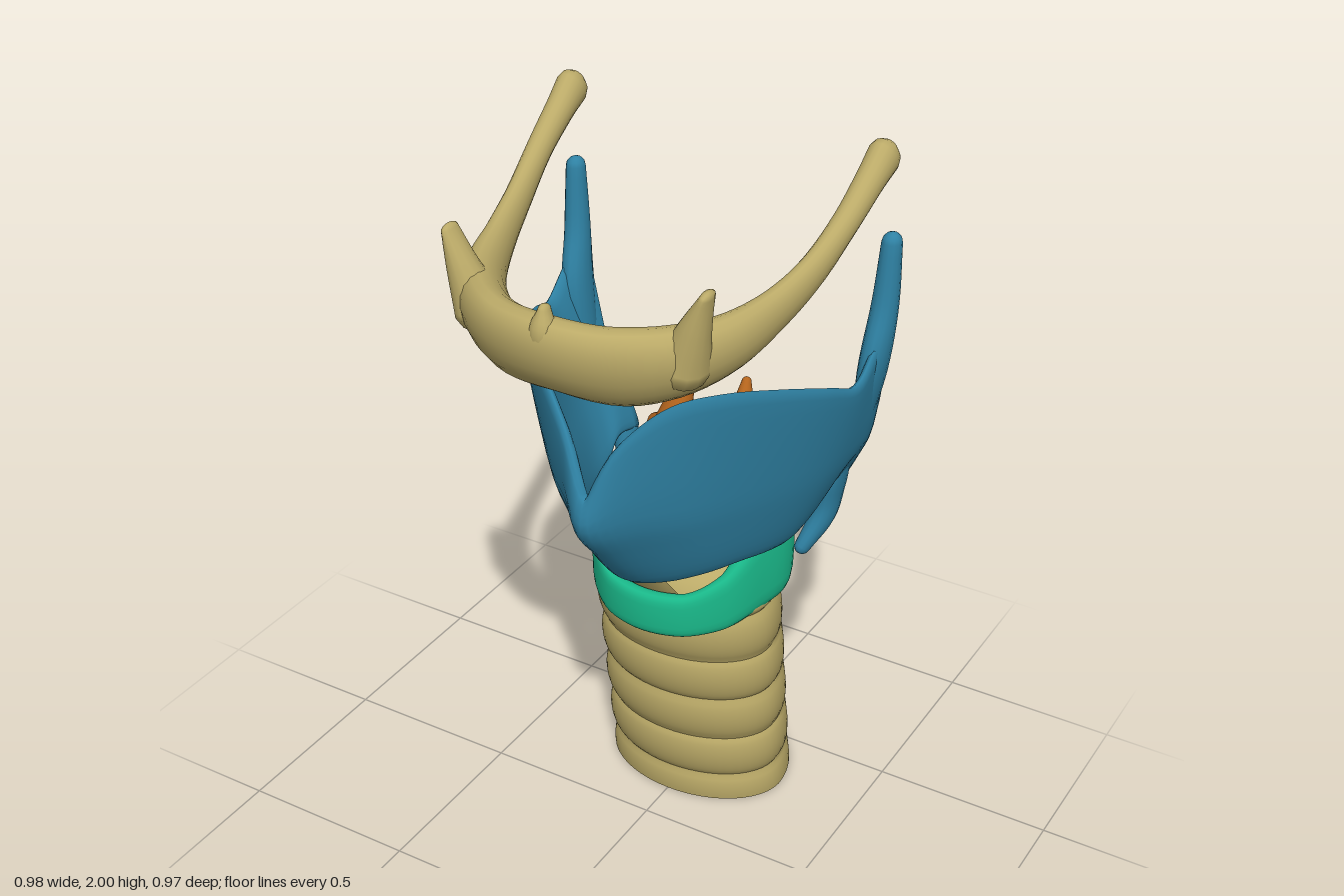
import * as THREE from 'three';
import { toCreasedNormals } from 'three/addons/utils/BufferGeometryUtils.js';

const V = (x, y, z) => new THREE.Vector3(x, y, z);
const curve = (pts, closed = false) => new THREE.CatmullRomCurve3(pts.map(p => V(p[0], p[1], p[2] || 0)), closed);
const material = color => new THREE.MeshStandardMaterial({ color, side: THREE.DoubleSide });
const bone = material(0xbbaa68), blue = material(0x2f82a4), green = material(0x1ab98a), orange = material(0xb5651d);

// Half a list of points, starting on the midline, extended to the other side
const mirrorOpen = (pts, s = -1) => [...pts.slice(1).reverse().map(p => [s * p[0], ...p.slice(1)]), ...pts];
const mirrorClosed = (pts, s = -1) => [...pts, ...pts.slice(1, -1).reverse().map(p => [s * p[0], ...p.slice(1)])];

// Skin closed cross-sections; ends are joined to each other, capped or left open
function loft(loops, { ring = false, capStart = !ring, capEnd = !ring } = {}) {
  const n = loops[0].length, m = loops.length, verts = loops.flat(), index = [];
  for (let i = 0; i < (ring ? m : m - 1); i++) {
    for (let j = 0; j < n; j++) {
      const a = i * n + j, b = i * n + (j + 1) % n, k = ((i + 1) % m) * n;
      index.push(a, b, k + j, b, k + (j + 1) % n, k + j);
    }
  }
  const cap = (start, flip) => {
    const c = V(0, 0, 0);
    for (let j = 0; j < n; j++) c.addScaledVector(verts[start + j], 1 / n);
    const id = verts.push(c) - 1;
    for (let j = 0; j < n; j++) {
      const a = start + j, b = start + (j + 1) % n;
      index.push(id, flip ? b : a, flip ? a : b);
    }
  };
  if (capStart) cap(0, true);
  if (capEnd) cap((m - 1) * n, false);
  // Turn the faces outward
  let volume = 0;
  for (let i = 0; i < index.length; i += 3) {
    volume += verts[index[i]].dot(V(0, 0, 0).crossVectors(verts[index[i + 1]], verts[index[i + 2]]));
  }
  if (volume < 0) index.reverse();
  const g = new THREE.BufferGeometry().setFromPoints(verts);
  g.setIndex(index);
  g.computeVertexNormals();
  return g;
}

// Elliptical tube with changing radii [across, along ref] and rounded ends
function tube(pts, radii, ref = V(0, 1, 0), steps = 20, sides = 14) {
  const path = curve(pts), size = curve(radii), loops = [];
  const section = (t, shrink, push) => {
    const tan = path.getTangent(t), r = size.getPoint(t);
    const across = V(0, 0, 0).crossVectors(tan, ref).normalize();
    const up = V(0, 0, 0).crossVectors(across, tan);
    const c = path.getPoint(t).addScaledVector(tan, push * Math.min(r.x, r.y));
    loops.push(Array.from({ length: sides }, (_, j) => {
      const a = j / sides * Math.PI * 2;
      return c.clone().addScaledVector(across, r.x * shrink * Math.cos(a)).addScaledVector(up, r.y * shrink * Math.sin(a));
    }));
  };
  for (const a of [1.4, 1, 0.5]) section(0, Math.cos(a), -Math.sin(a));
  for (let i = 0; i <= steps; i++) section(i / steps, 1, 0);
  for (const a of [0.5, 1, 1.4]) section(1, Math.cos(a), Math.sin(a));
  return loft(loops);
}

// Windpipe: ringed front and sides, flat hollow back, open below, domed membrane on top
function trachea() {
  const loops = [], rows = 64, height = 0.695;
  for (let i = 0; i <= rows; i++) {
    const y = height * i / rows, cz = -0.305 + 0.148 * y, loop = [];
    const wave = 0.022 * Math.sqrt(Math.abs(Math.cos((y - 0.01) / 0.147 * Math.PI))) - 0.012;
    for (let j = 0; j <= 36; j++) {
      const a = (-42 + 264 * j / 36) * Math.PI / 180, s = Math.sin(a);
      const w = s > 0 ? wave : wave * (1 + s);
      loop.push(V((0.257 + w) * Math.cos(a), y, cz + (s > 0 ? 0.177 + w : 0.265) * s));
    }
    const corner = loop[36];
    for (let j = 1; j < 10; j++) {
      const k = j / 10;
      loop.push(V(corner.x * (1 - 2 * k), y, corner.z + 0.03 * Math.sin(k * Math.PI)));
    }
    loops.push(loop);
  }
  const rim = loops[rows];
  for (let i = 1; i < 8; i++) {
    const a = i * 0.2, k = Math.cos(a);
    loops.push(rim.map(p => V(p.x * k, height + 0.145 * Math.sin(a), -0.19 + (p.z + 0.19) * k)));
  }
  return toCreasedNormals(loft(loops, { capStart: false }), 0.7);
}

// Signet-shaped ring: low in front, tall at the back
function cricoid() {
  const outer = curve(mirrorClosed([[0, 0.038], [0.115, 0.012], [0.208, -0.065], [0.26, -0.16], [0.287, -0.28], [0.22, -0.38], [0.12, -0.43], [0, -0.44]]), true);
  const inner = curve(mirrorClosed([[0, -0.01], [0.1, -0.03], [0.17, -0.09], [0.19, -0.17], [0.18, -0.25], [0.14, -0.31], [0.07, -0.335], [0, -0.34]]), true);
  const level = curve(mirrorClosed([[0.645, 0.77], [0.648, 0.775], [0.66, 0.825], [0.68, 0.925], [0.69, 0.98], [0.685, 1.04], [0.715, 1.06], [0.7, 0.99]], 1), true);
  const soft = c => Math.sign(c) * Math.abs(c) ** 0.6;
  const loops = [];
  for (let i = 0; i < 70; i++) {
    const t = i / 70, o = outer.getPoint(t), n = inner.getPoint(t), h = level.getPoint(t);
    loops.push(Array.from({ length: 20 }, (_, j) => {
      const a = j / 20 * Math.PI * 2, k = 0.5 + 0.5 * soft(Math.cos(a)), v = 0.5 + 0.5 * soft(Math.sin(a));
      const lean = o.y < -0.3 ? 0.35 * (-0.3 - o.y) * v * k : 0;
      return V(n.x + (o.x - n.x) * k, h.x + (h.y - h.x) * v, n.y + (o.y - n.y) * k + lean);
    }));
  }
  return loft(loops, { ring: true });
}

// Shield plates: columns through top, middle, waist and lower edge, thicker below
function shield() {
  const top = curve(mirrorOpen([[0, 1.2, 0.315], [0.1, 1.37, 0.272], [0.2, 1.465, 0.212], [0.3, 1.49, 0.13], [0.395, 1.46, -0.02], [0.455, 1.42, -0.15], [0.48, 1.39, -0.25], [0.485, 1.45, -0.335], [0.483, 1.52, -0.42]]));
  const mid = curve(mirrorOpen([[0, 1.11, 0.316], [0.1, 1.13, 0.23], [0.2, 1.14, 0.14], [0.295, 1.16, 0.03], [0.365, 1.16, -0.1], [0.407, 1.16, -0.21], [0.425, 1.16, -0.3], [0.43, 1.16, -0.38], [0.425, 1.16, -0.435]]));
  const low = curve(mirrorOpen([[0, 0.84, 0.11], [0.1, 0.855, 0.09], [0.195, 0.88, 0.03], [0.265, 0.9, -0.05], [0.305, 0.9, -0.13], [0.325, 0.9, -0.2], [0.335, 0.92, -0.27], [0.34, 0.97, -0.34], [0.34, 0.95, -0.45]]));
  const loops = [];
  for (let i = 0; i <= 80; i++) {
    const t = i / 80, tan = mid.getTangent(t), inward = V(tan.z, 0, -tan.x).normalize();
    const m = mid.getPoint(t), l = low.getPoint(t);
    const column = new THREE.CatmullRomCurve3([top.getPoint(t), m, m.clone().lerp(l, 0.45), l]);
    loops.push(Array.from({ length: 32 }, (_, j) => {
      const a = j / 32 * Math.PI * 2, s = Math.sin(a), v = (1 - Math.cos(a)) / 2;
      const depth = (0.05 + 0.02 * v) * (0.5 - 0.5 * Math.sign(s) * Math.abs(s) ** 0.6);
      return column.getPoint(v).addScaledVector(inward, depth);
    }));
  }
  return loft(loops);
}

export function createModel() {
  const model = new THREE.Group();
  const add = (name, geometry, mat) => {
    const mesh = new THREE.Mesh(geometry, mat);
    mesh.name = name;
    model.add(mesh);
  };

  add('trachea', trachea(), bone);
  add('cricoidCartilage', cricoid(), green);
  add('thyroidCartilage', shield(), blue);

  // Horseshoe bone with its midline bump
  const hyoidPath = [[0, 1.66, 0.415], [0.15, 1.65, 0.38], [0.26, 1.66, 0.305], [0.335, 1.68, 0.2], [0.38, 1.715, 0.07], [0.41, 1.768, -0.06], [0.43, 1.848, -0.19], [0.437, 1.917, -0.3], [0.44, 1.953, -0.36]];
  const hyoidSize = [[0.062, 0.112], [0.062, 0.115], [0.062, 0.1], [0.05, 0.08], [0.036, 0.06], [0.031, 0.047], [0.032, 0.038], [0.036, 0.042], [0.04, 0.052]];
  add('hyoidBone', tube(mirrorOpen(hyoidPath), mirrorOpen(hyoidSize, 1), V(0, 1, 0.4), 72, 18), bone);
  add('hyoidRidge', tube([[0, 1.66, 0.45], [0, 1.73, 0.453], [0, 1.785, 0.445]], [[0.02, 0.02], [0.035, 0.032], [0.014, 0.02]], V(0, 0, 1), 8), bone);

  for (const s of [1, -1]) {
    const side = s > 0 ? 'left' : 'right';
    const back = V(0, 0, 1);
    const pair = (name, pts, radii, mat, ref = back, steps = 16) =>
      add(side + name, tube(pts.map(p => [s * p[0], p[1], p[2]]), radii, ref, steps), mat);

    // Small horns of the horseshoe bone
    pair('LesserHorn', [[0.28, 1.66, 0.3], [0.31, 1.75, 0.315], [0.345, 1.85, 0.318]],
      [[0.065, 0.07], [0.042, 0.045], [0.014, 0.03]], bone);

    // Horns of the shield plates
    pair('UpperHorn', [[0.4, 1.12, -0.395], [0.441, 1.38, -0.377], [0.454, 1.55, -0.397], [0.459, 1.72, -0.402]],
      [[0.012, 0.02], [0.035, 0.058], [0.034, 0.039], [0.026, 0.028]], blue);
    pair('LowerHorn', [[0.38, 1.13, -0.39], [0.33, 0.98, -0.418], [0.308, 0.88, -0.417], [0.272, 0.785, -0.367]],
      [[0.01, 0.015], [0.032, 0.045], [0.033, 0.044], [0.022, 0.026]], blue);

    // Paired pyramid cartilages and the cords running forward
    pair('ArytenoidBody', [[0.12, 1.02, -0.315], [0.105, 1.11, -0.325], [0.09, 1.19, -0.35], [0.085, 1.24, -0.37]],
      [[0.065, 0.05], [0.046, 0.04], [0.027, 0.027], [0.013, 0.014]], orange);
    pair('ArytenoidBase', [[0.165, 1.055, -0.33], [0.11, 1.07, -0.3], [0.075, 1.07, -0.25], [0.045, 1.06, -0.205]],
      [[0.028, 0.035], [0.04, 0.048], [0.026, 0.032], [0.01, 0.018]], orange, V(0, 1, 0));
    pair('VocalLigament', [[0.045, 1.06, -0.21], [0.035, 1.062, -0.07], [0.02, 1.065, 0.09]],
      [[0.014, 0.02], [0.014, 0.02], [0.014, 0.02]], orange, V(0, 1, 0));
  }

  // Front anchor of the cords
  add('cordAnchor', tube([[0, 1.065, 0.08], [0, 1.07, 0.135]], [[0.042, 0.035], [0.034, 0.035]], V(0, 1, 0), 6), orange);

  // Curved sheet between the shield and the ring
  const sheet = new THREE.PlaneGeometry(2, 1, 12, 4), p = sheet.attributes.position;
  for (let i = 0; i < p.count; i++) {
    const u = p.getX(i), v = p.getY(i) + 0.5;
    p.setXYZ(i, u * (0.09 - 0.05 * v), 0.745 + 0.135 * v, -0.015 + 0.085 * v - 0.02 * u * u);
  }
  sheet.computeVertexNormals();
  add('frontLigament', sheet, bone);

  return model;
}
